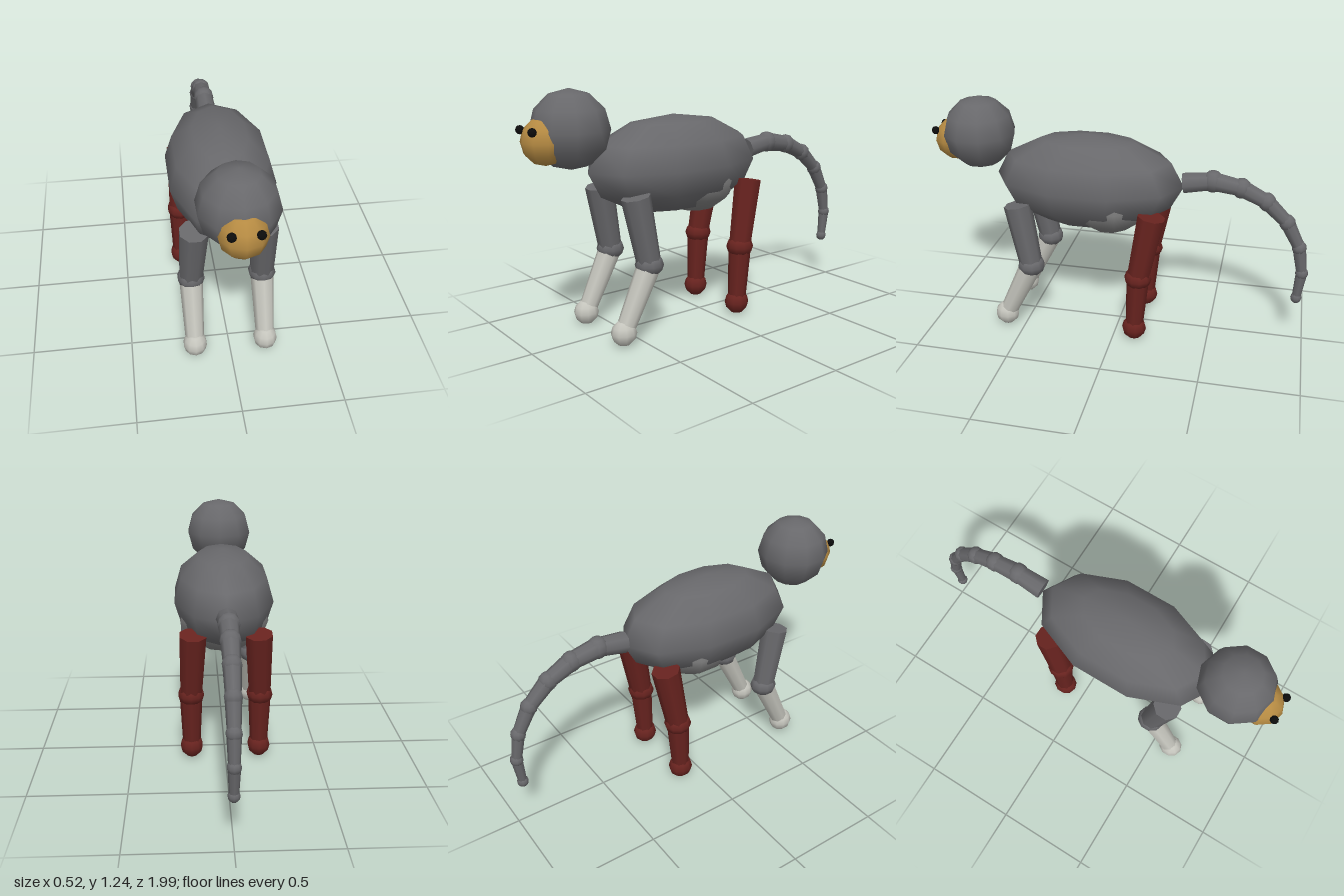
import * as THREE from 'three';

const material = (color) => new THREE.MeshStandardMaterial({ color });
const fur = material(0x68686b);
const bellyFur = material(0x7d7d7d);
const white = material(0xc4c4bc);
const red = material(0x68231f);
const tan = material(0xb58a42);
const black = material(0x0c0c0c);

const UP = new THREE.Vector3(0, 1, 0);

export function createModel() {
  const model = new THREE.Group();

  // Low-sided ball or ellipsoid, with a column of corners facing front
  function ball(name, mat, position, rx, ry = rx, rz = rx, parent = model) {
    const geometry = new THREE.SphereGeometry(1, 10, 6);
    geometry.rotateY(Math.PI / 2);
    geometry.scale(rx, ry, rz);
    const mesh = new THREE.Mesh(geometry, mat);
    mesh.name = name;
    mesh.position.set(...position);
    parent.add(mesh);
  }

  // Tapered limb between two points
  function limb(name, mat, from, to, r0, r1, parent = model) {
    const a = new THREE.Vector3(...from);
    const b = new THREE.Vector3(...to);
    const dir = b.clone().sub(a);
    const mesh = new THREE.Mesh(new THREE.CylinderGeometry(r1, r0, dir.length(), 8), mat);
    mesh.name = name;
    mesh.position.copy(a).add(b).multiplyScalar(0.5);
    mesh.quaternion.setFromUnitVectors(UP, dir.normalize());
    parent.add(mesh);
  }

  // Trunk and head
  ball('body', fur, [0, 0.827, 0.168], 0.273, 0.25, 0.5);
  ball('belly', bellyFur, [0, 0.735, 0.05], 0.243, 0.175, 0.22);
  ball('head', fur, [0, 1.047, 0.755], 0.19);
  ball('muzzle', tan, [0, 1.003, 0.885], 0.113);

  // Paired parts
  for (const s of [1, -1]) {
    const side = s > 0 ? 'left' : 'right';
    ball(side + 'Eye', black, [s * 0.061, 1.057, 0.975], 0.021);

    const legs = [
      { name: 'FrontLeg', upper: fur, lower: white, hipZ: 0.51, knee: [0.38, 0.447], footZ: 0.6 },
      { name: 'HindLeg', upper: red, lower: red, hipZ: -0.195, knee: [0.37, -0.132], footZ: -0.114 },
    ];
    for (const { name, upper, lower, hipZ, knee, footZ } of legs) {
      const leg = new THREE.Group();
      leg.name = side + name;
      model.add(leg);
      const kneePoint = [s * 0.18, ...knee];
      const footPoint = [s * 0.18, 0.065, footZ];
      limb('upperLeg', upper, [s * 0.167, 0.722, hipZ], kneePoint, 0.073, 0.06, leg);
      ball('knee', upper, kneePoint, 0.07, 0.06, 0.072, leg);
      limb('lowerLeg', lower, kneePoint, footPoint, 0.06, 0.046, leg);
      ball('foot', lower, footPoint, 0.061, 0.065, 0.065, leg);
    }
  }

  // Tail: tapering links with a ball at each joint
  const tail = new THREE.Group();
  tail.name = 'tail';
  model.add(tail);
  const path = [
    [0, 0.85, -0.33], [0, 0.873, -0.478], [0, 0.848, -0.625], [0, 0.785, -0.755],
    [0, 0.68, -0.865], [0, 0.545, -0.937], [0, 0.398, -0.963], [0, 0.25, -0.948],
  ];
  const radius = (i) => 0.056 - 0.0044 * i;
  for (let i = 1; i < path.length; i++) {
    limb('tailLink', fur, path[i - 1], path[i], radius(i - 1), radius(i) - 0.003, tail);
    ball('tailJoint', fur, path[i], radius(i) + 0.004, radius(i) + 0.006, radius(i) + 0.004, tail);
  }

  return model;
}
